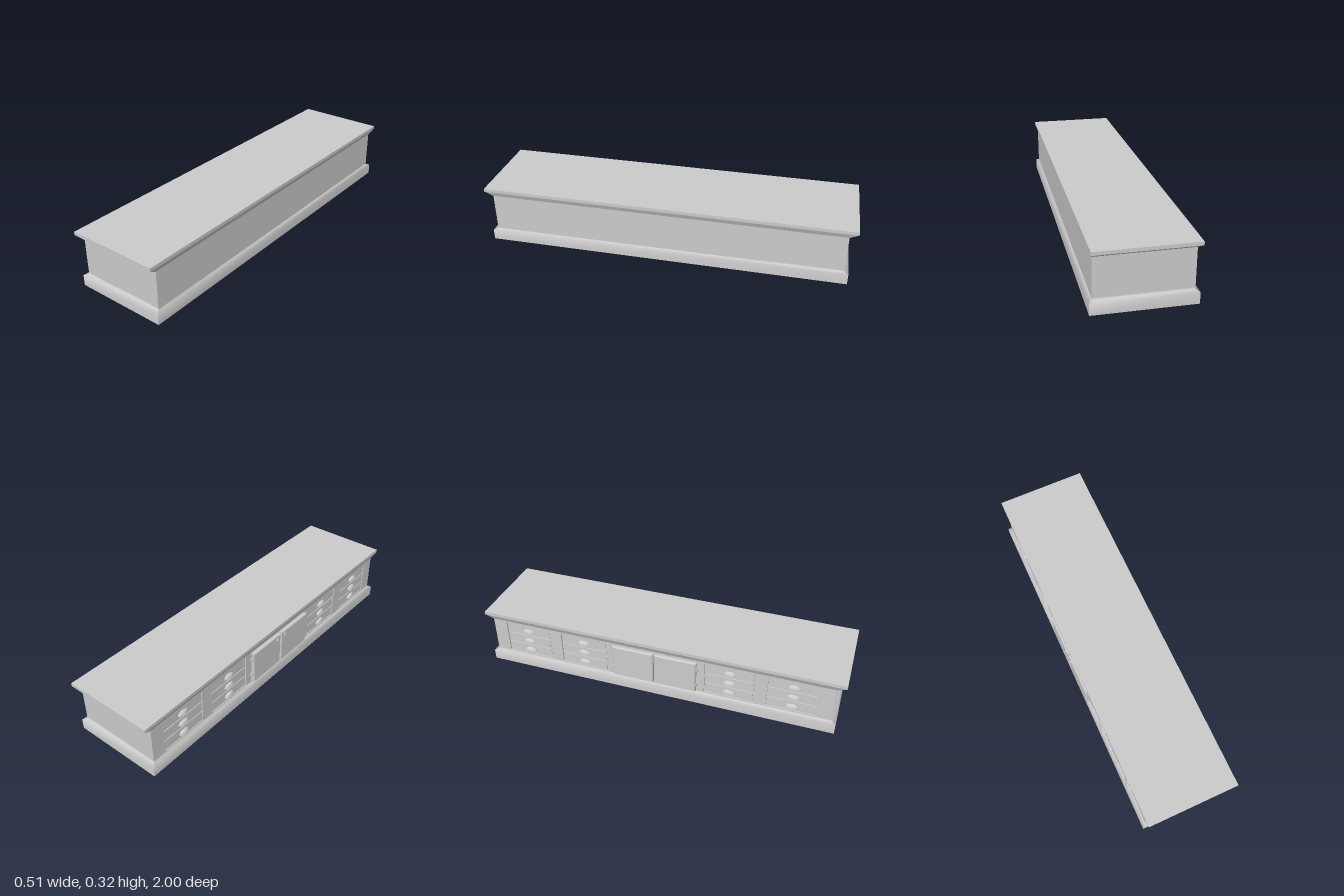
import * as THREE from 'three';

const grey = new THREE.MeshStandardMaterial({ color: 0xcccccc, side: THREE.DoubleSide });

function add(parent, name, geometry, x = 0, y = 0, z = 0) {
  const mesh = new THREE.Mesh(geometry, grey);
  mesh.name = name;
  mesh.position.set(x, y, z);
  parent.add(mesh);
  return mesh;
}

// Four mitred strips following a profile of [y, xMin, xMax, zHalf] rings.
function moulding(parent, name, rings) {
  const group = new THREE.Group();
  group.name = name;
  for (let side = 0; side < 4; side++) {
    const pos = [], index = [];
    rings.forEach(([y, x0, x1, z]) => {
      const c = [[x0, z], [x1, z], [x1, -z], [x0, -z]];
      const a = c[side], b = c[(side + 1) % 4];
      pos.push(a[0], y, a[1], b[0], y, b[1]);
    });
    for (let i = 0; i < rings.length - 1; i++) {
      const k = 2 * i;
      index.push(k, k + 1, k + 3, k, k + 3, k + 2);
    }
    const g = new THREE.BufferGeometry();
    g.setAttribute('position', new THREE.Float32BufferAttribute(pos, 3));
    g.setIndex(index);
    g.computeVertexNormals();
    add(group, name + 'Side', g);
  }
  parent.add(group);
}

function rectangle(path, x0, x1, y0, y1) {
  path.moveTo(x0, y0);
  path.lineTo(x1, y0);
  path.lineTo(x1, y1);
  path.lineTo(x0, y1);
  path.closePath();
  return path;
}

// Hollow half-dome for a cup pull.
function cupPullGeometry() {
  const pts = [], n = 8;
  for (let i = 0; i <= n; i++) {
    const a = (i / n) * Math.PI / 2;
    pts.push(new THREE.Vector2(Math.cos(a), Math.sin(a)));
  }
  for (let i = n; i >= 0; i--) {
    const a = (i / n) * Math.PI / 2;
    pts.push(new THREE.Vector2(0.8 * Math.cos(a), 0.8 * Math.sin(a)));
  }
  const g = new THREE.LatheGeometry(pts, 16, -Math.PI / 2, Math.PI);
  g.scale(0.034, 0.023, 0.016);
  return g;
}

export function createModel() {
  const model = new THREE.Group();
  model.name = 'longCounter';

  // Plinth with a softly shaded shoulder
  moulding(model, 'plinth', [
    [0, -0.247, 0.256, 0.978],
    [0.058, -0.247, 0.256, 0.978],
    [0.066, -0.23, 0.24, 0.956],
    [0.075, -0.23, 0.24, 0.956],
  ]);
  add(model, 'plinthBottom', new THREE.BoxGeometry(0.503, 0.002, 1.956), 0.0045, 0.001, 0);

  // Cabinet body behind the panelled face
  add(model, 'body', new THREE.BoxGeometry(0.462, 0.21, 1.912), 0.009, 0.17, 0);

  // Sloped cornice and worktop
  moulding(model, 'cornice', [
    [0.273, -0.23, 0.24, 0.956],
    [0.301, -0.243, 0.252, 1.0],
  ]);
  add(model, 'worktop', new THREE.BoxGeometry(0.495, 0.018, 2), 0.0045, 0.309, 0);

  // Fitted face: local x runs along the counter, local z points outward
  const face = new THREE.Group();
  face.name = 'cabinetFace';
  face.rotation.y = -Math.PI / 2;
  model.add(face);

  const bankCentres = [-0.745, -0.41, 0.41, 0.745];
  const rowCentres = [0.108, 0.17, 0.232];
  const halfW = 0.133;

  // Face frame with an opening for each drawer bank
  const frame = rectangle(new THREE.Shape(), -0.956, 0.956, 0.07, 0.275);
  for (const c of bankCentres) {
    frame.holes.push(rectangle(new THREE.Path(), c - halfW, c + halfW, 0.077, 0.263));
  }
  const frameGeo = new THREE.ExtrudeGeometry(frame, { depth: 0.008, bevelEnabled: false });
  add(face, 'faceFrame', frameGeo, 0, 0, 0.222);

  // Drawers with cup pulls
  const drawerGeo = new THREE.BoxGeometry(halfW * 2 - 0.006, 0.057, 0.005);
  const pullGeo = cupPullGeometry();
  for (const c of bankCentres) {
    for (const y of rowCentres) {
      add(face, 'drawerFront', drawerGeo, c, y, 0.2245);
      add(face, 'cupPull', pullGeo, c, y - 0.009, 0.227);
    }
  }

  // Pair of raised doors with chamfered edges, knobs and hinges
  const b = 0.005;
  const doorShape = rectangle(new THREE.Shape(), -0.1155 + b, 0.1155 - b, -0.095 + b, 0.095 - b);
  const doorGeo = new THREE.ExtrudeGeometry(doorShape, {
    depth: 0.012, bevelEnabled: true, bevelThickness: 0.006, bevelSize: b, bevelSegments: 1,
  });
  const knobGeo = new THREE.CylinderGeometry(0.011, 0.009, 0.008, 20).rotateX(Math.PI / 2);
  const hingeGeo = new THREE.BoxGeometry(0.008, 0.018, 0.01);
  for (const s of [-1, 1]) {
    add(face, 'door', doorGeo, s * 0.1185, 0.17, 0.232);
    add(face, 'doorKnob', knobGeo, s * 0.034, 0.238, 0.253);
    for (const y of [0.12, 0.218]) add(face, 'hinge', hingeGeo, s * 0.236, y, 0.234);
  }
  return model;
}
